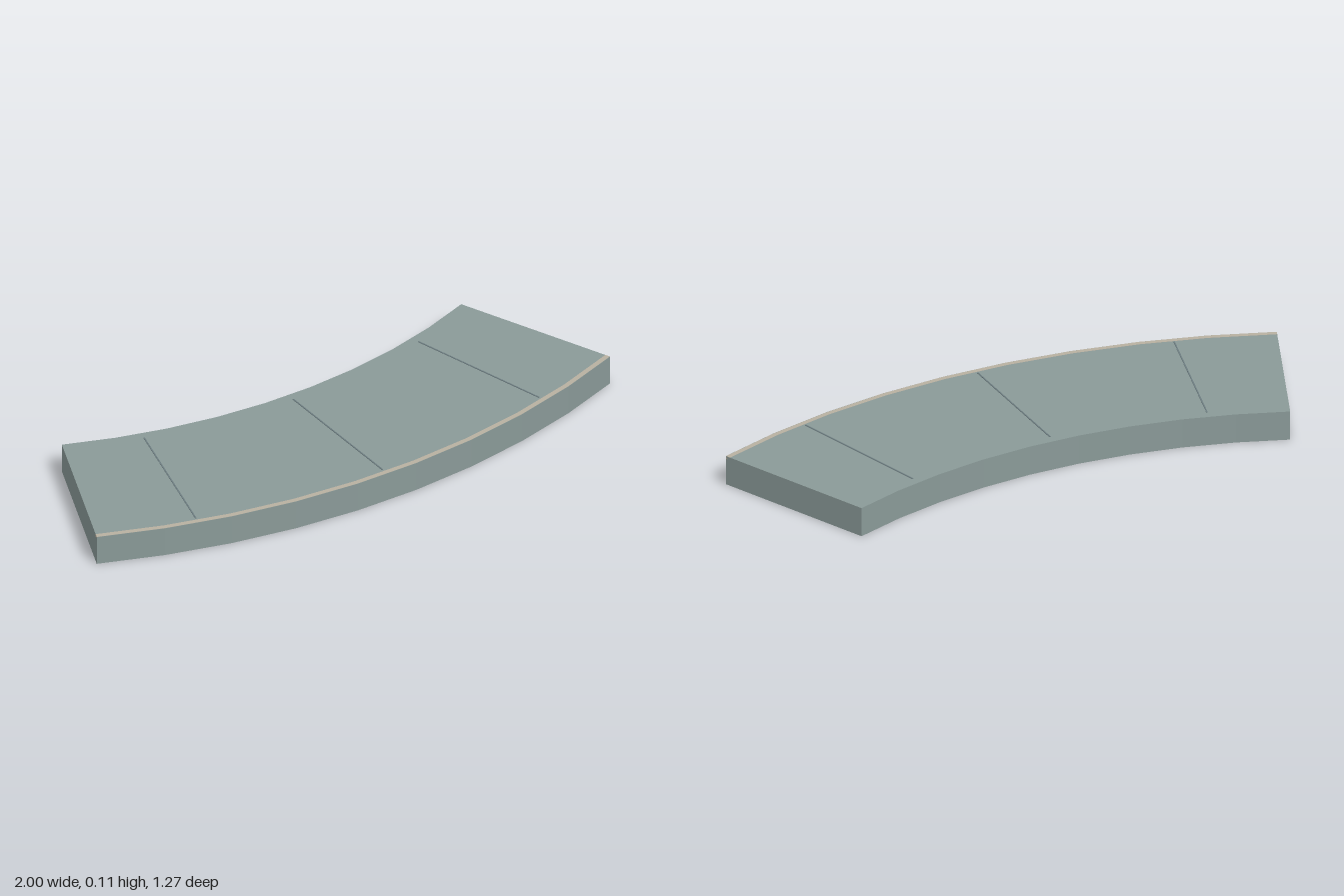
import * as THREE from 'three';

const SWEEP = Math.PI / 4, STEPS = 9;
const INNER = 2.2, OUTER = 2.828, HEIGHT = 0.11;
const CX = -1, CZ = -2.192; // centre of the curve

// Curved slab between two radii, swept through the whole bend
function arcSlab(name, r0, r1, y0, y1, color) {
  const pts = [];
  const add = (r, a) => pts.push(new THREE.Vector2(CX + r * Math.sin(a), -CZ - r * Math.cos(a)));
  for (let i = 0; i <= STEPS; i++) add(r1, (i / STEPS) * SWEEP);
  for (let i = STEPS; i >= 0; i--) add(r0, (i / STEPS) * SWEEP);
  const geo = new THREE.ExtrudeGeometry(new THREE.Shape(pts), { depth: y1 - y0, bevelEnabled: false });
  geo.rotateX(-Math.PI / 2).translate(0, y0, 0);
  const mesh = new THREE.Mesh(geo, new THREE.MeshStandardMaterial({ color, flatShading: true }));
  mesh.name = name;
  return mesh;
}

export function createModel() {
  const group = new THREE.Group();
  group.name = 'curvedSlab';

  // Main faceted slab
  group.add(arcSlab('slab', INNER, OUTER, 0, HEIGHT, 0x8a9a98));

  // Slim pale trim along the outer top edge
  group.add(arcSlab('outerTrim', OUTER - 0.02, OUTER - 0.001, HEIGHT - 0.01, HEIGHT + 0.0004, 0xb8b0a0));

  // Radial joints at the middle of each third
  const jointMat = new THREE.MeshStandardMaterial({ color: 0x6c7c80 });
  const r0 = INNER + 0.033, r1 = OUTER - 0.031, mid = (r0 + r1) / 2;
  for (let i = 0; i < 3; i++) {
    const a = ((i + 0.5) / 3) * SWEEP;
    const joint = new THREE.Mesh(new THREE.BoxGeometry(0.005, 0.004, r1 - r0), jointMat);
    joint.name = 'joint' + (i + 1);
    joint.position.set(CX + mid * Math.sin(a), HEIGHT, CZ + mid * Math.cos(a));
    joint.rotation.y = a;
    group.add(joint);
  }
  return group;
}
